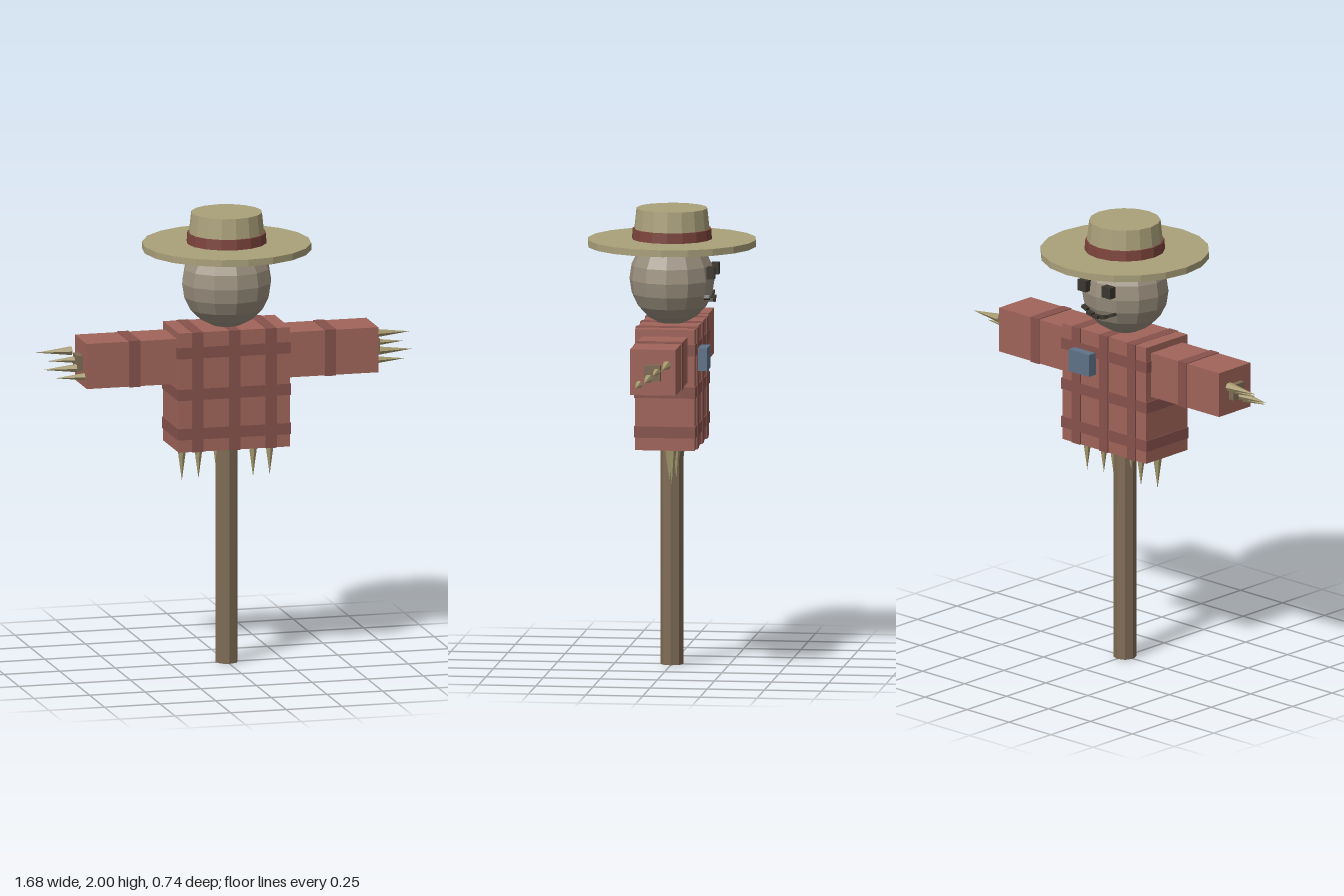
import * as THREE from 'three';

const mat = (color) => new THREE.MeshStandardMaterial({ color, flatShading: true });

export function createModel() {
  const model = new THREE.Group();
  model.name = 'scarecrow';
  const cloth = mat(0xa0645a), stripe = mat(0x87524c), straw = mat(0xa89b70);
  const burlap = mat(0x9a8f7e), wood = mat(0x7f6c55), hat = mat(0xaaa07a);
  const ribbon = mat(0x7c443c), dark = mat(0x3b362f), denim = mat(0x5f7288);

  const add = (name, geometry, material, x, y, z, parent = model) => {
    const mesh = new THREE.Mesh(geometry, material);
    mesh.name = name;
    mesh.position.set(x, y, z);
    parent.add(mesh);
    return mesh;
  };
  const box = (name, material, w, h, d, x, y, z, parent) =>
    add(name, new THREE.BoxGeometry(w, h, d), material, x, y, z, parent);

  // Wooden frame
  add('pole', new THREE.CylinderGeometry(0.05, 0.05, 1.5, 8), wood, 0, 0.75, 0);
  box('crossbeam', wood, 1.36, 0.07, 0.07, 0, 1.37, 0);

  // Plaid shirt: horizontal bands wrap round, vertical bands run over front and back
  box('shirt', cloth, 0.5, 0.53, 0.26, 0, 1.235, 0);
  for (const y of [1.41, 1.225, 1.05]) {
    box('shirtBand', stripe, 0.508, 0.05, 0.268, 0, y, 0);
  }
  for (const x of [-0.165, 0, 0.165]) {
    box('shirtStripe', stripe, 0.05, 0.532, 0.272, x, 1.235, 0);
  }
  box('pocket', denim, 0.12, 0.1, 0.05, 0.11, 1.36, -0.15);

  // Straw hanging below the shirt
  for (let i = 0; i < 6; i++) {
    const tuft = add('hemStraw', new THREE.ConeGeometry(0.022, 0.16, 6), straw,
      -0.2 + i * 0.08, 0.895, i % 2 ? -0.025 : -0.005);
    tuft.rotation.x = Math.PI;
  }

  // Sleeves and straw hands, the same on both sides
  const strawTips = [[0.84, 1.41, -0.065], [0.8, 1.38, -0.02], [0.83, 1.35, 0.015], [0.785, 1.32, 0.06]];
  for (const side of [-1, 1]) {
    const arm = new THREE.Group();
    arm.name = side > 0 ? 'leftArm' : 'rightArm';
    model.add(arm);
    box('sleeve', cloth, 0.41, 0.2, 0.2, side * 0.45, 1.37, 0, arm);
    box('sleeveBand', stripe, 0.05, 0.206, 0.206, side * 0.44, 1.37, 0, arm);
    for (const [tip, y, z] of strawTips) {
      const finger = add('handStraw', new THREE.ConeGeometry(0.02, 0.16, 6), straw,
        side * (tip - 0.08), y - 0.003, z, arm);
      finger.rotation.z = -side * Math.PI / 2;
    }
  }

  // Head with its face towards the back
  add('head', new THREE.SphereGeometry(0.2, 12, 10), burlap, 0, 1.69, 0).scale.z = 0.93;
  for (const x of [-0.072, 0.072]) {
    box('eye', dark, 0.05, 0.05, 0.035, x, 1.728, -0.18);
  }
  for (let i = -2; i <= 2; i++) {
    const stitch = box('mouthStitch', dark, 0.03, 0.014, 0.025,
      i * 0.04, 1.6 + i * i * 0.005, -0.179 + i * i * 0.004);
    stitch.rotation.z = i * 0.2;
  }

  // Hat
  add('hatBrim', new THREE.CylinderGeometry(0.368, 0.368, 0.03, 20), hat, 0, 1.85, 0);
  add('hatCrown', new THREE.CylinderGeometry(0.155, 0.17, 0.14, 16), hat, 0, 1.93, 0);
  add('hatBand', new THREE.CylinderGeometry(0.172, 0.175, 0.045, 16), ribbon, 0, 1.888, 0);
  return model;
}
